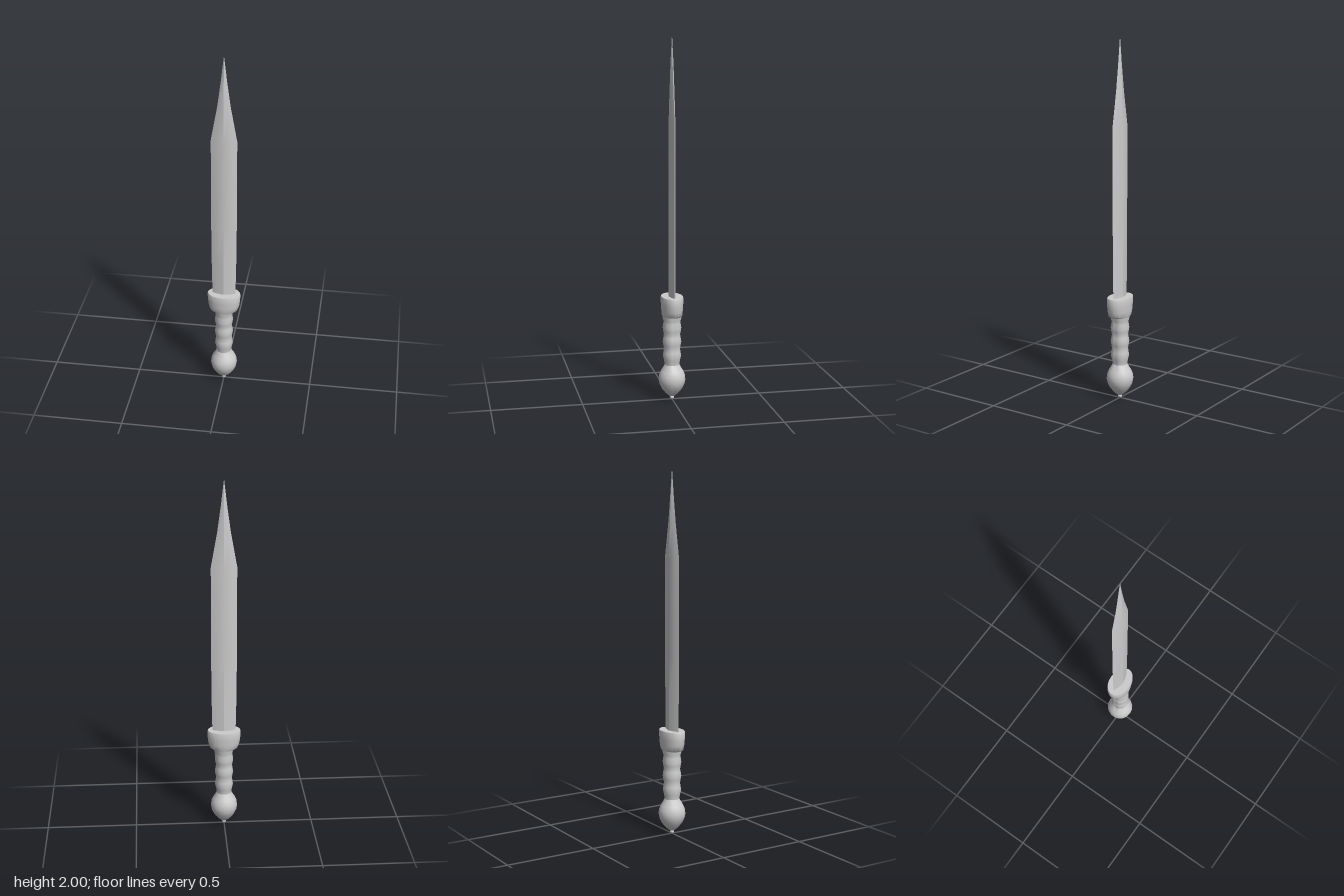
import * as THREE from 'three';
import { toCreasedNormals } from 'three/addons/utils/BufferGeometryUtils.js';

const material = new THREE.MeshStandardMaterial({ color: 0xcccccc });

function addMesh(parent, name, geometry, crease) {
  const mesh = new THREE.Mesh(toCreasedNormals(geometry, crease), material);
  mesh.name = name;
  parent.add(mesh);
}

// Skin a unit outline [x, z] through rings [y, halfWidth, halfDepth], with end caps
function loft(outline, rings) {
  const n = outline.length, positions = [], index = [];
  for (const [y, w, d] of rings) {
    for (const [x, z] of outline) positions.push(x * w, y, z * d);
  }
  for (let r = 0; r < rings.length - 1; r++) {
    for (let i = 0; i < n; i++) {
      const a = r * n + i, b = r * n + (i + 1) % n;
      index.push(a, a + n, b, b, a + n, b + n);
    }
  }
  const top = (rings.length - 1) * n;
  for (let i = 1; i < n - 1; i++) {
    index.push(0, i, i + 1, top, top + i + 1, top + i);
  }
  const geometry = new THREE.BufferGeometry();
  geometry.setAttribute('position', new THREE.Float32BufferAttribute(positions, 3));
  geometry.setIndex(index);
  return geometry;
}

function lathe(profile, segments) {
  return new THREE.LatheGeometry(profile.map(([r, y]) => new THREE.Vector2(r, y)), segments);
}

export function createModel() {
  const sword = new THREE.Group();
  sword.name = 'shortSword';

  // Blade: a ridged lens section with a long tapering point
  const lens = [[1, 0], [0.6, 0.58], [0, 1], [-0.6, 0.58], [-1, 0], [-0.6, -0.58], [0, -1], [0.6, -0.58]];
  addMesh(sword, 'blade', loft(lens, [
    [0.56, 0.064, 0.02], [0.75, 0.068, 0.02], [1.0, 0.07, 0.02], [1.53, 0.07, 0.018],
    [1.72, 0.036, 0.013], [1.86, 0.017, 0.008], [2.0, 0.0005, 0.0005],
  ]), 0.4);

  // Guard: an oval collar, narrowing in width towards the grip
  const oval = Array.from({ length: 20 }, (_, i) => {
    const a = i / 20 * Math.PI * 2;
    return [Math.cos(a), Math.sin(a)];
  });
  addMesh(sword, 'guard', loft(oval, [
    [0.475, 0.066, 0.053], [0.482, 0.078, 0.056], [0.51, 0.087, 0.058],
    [0.54, 0.091, 0.06], [0.58, 0.093, 0.061], [0.586, 0.09, 0.059],
  ]), 0.75);

  // Grip: soft finger swells, flaring under the guard
  const gripProfile = [
    [0.041, 0.17], [0.041, 0.2], [0.045, 0.225], [0.051, 0.25], [0.048, 0.27], [0.045, 0.29],
    [0.048, 0.31], [0.052, 0.33], [0.048, 0.355], [0.045, 0.37], [0.049, 0.39], [0.052, 0.41],
    [0.048, 0.435], [0.048, 0.45], [0.054, 0.47], [0.054, 0.49],
  ];
  addMesh(sword, 'grip', lathe(gripProfile, 18), 1);

  // Pommel: rounded bulb drawn in towards the bottom
  const pommelProfile = [
    [0, 0.016], [0.016, 0.02], [0.036, 0.037], [0.057, 0.063], [0.07, 0.09], [0.075, 0.115],
    [0.072, 0.14], [0.062, 0.163], [0.05, 0.182], [0.041, 0.2],
  ];
  addMesh(sword, 'pommel', lathe(pommelProfile, 18), 1);

  // Peened rivet beneath the pommel
  const rivetProfile = [[0, 0], [0.007, 0.001], [0.012, 0.007], [0.012, 0.013], [0.008, 0.018], [0.008, 0.026]];
  addMesh(sword, 'pommelRivet', lathe(rivetProfile, 12), 1);

  return sword;
}
